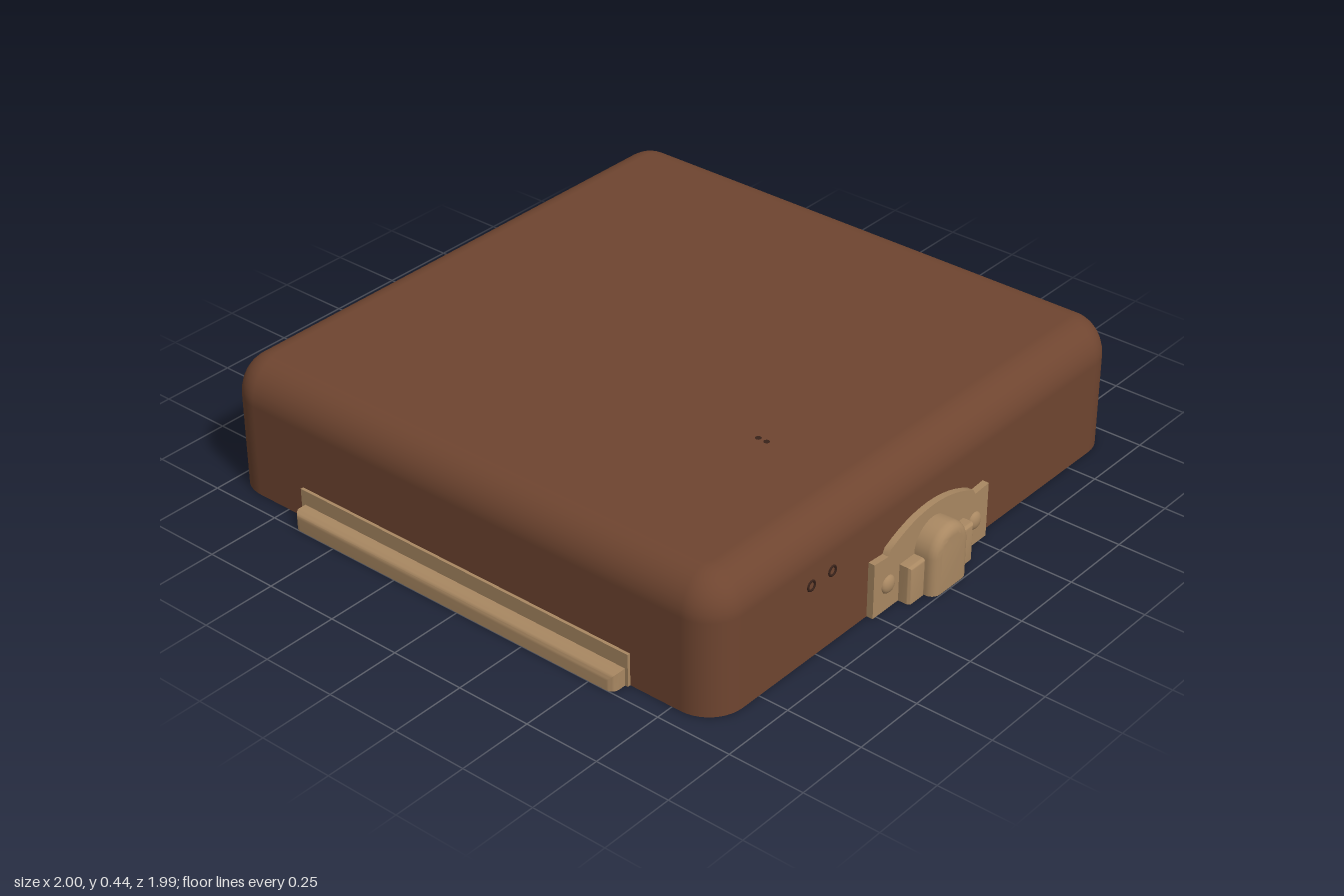
import * as THREE from 'three';
import { toCreasedNormals } from 'three/addons/utils/BufferGeometryUtils.js';

// Case extents
const X0 = -0.94, X1 = 0.985, Z0 = -0.995, Z1 = 0.9, H = 0.44;
const R = 0.12, INSET = 0.11, SHOULDER = 0.31;

const mat = (name, color) => {
  const m = new THREE.MeshStandardMaterial({ color, side: THREE.DoubleSide });
  m.name = name;
  return m;
};

const polygon = (pts) => new THREE.Shape(pts.map(([x, y]) => new THREE.Vector2(x, y)));
const rect = (a, b, c, d) => polygon([[a, b], [c, b], [c, d], [a, d]]);

// Rounded corners, filleted top edge and flat top; three straight walls are left open for panels
function caseGeometry() {
  const n = 10, steps = 8;
  const centres = [[X1 - R, Z1 - R], [X0 + R, Z1 - R], [X0 + R, Z0 + R], [X1 - R, Z0 + R]];
  const rings = [[0, 0, 0]];
  for (let i = 0; i <= steps; i++) {
    const t = (i / steps) * Math.PI / 2;
    rings.push([t, INSET * (1 - Math.cos(t)), SHOULDER + (H - SHOULDER) * Math.sin(t)]);
  }
  const pos = [], nor = [], idx = [], count = 4 * (n + 1);
  for (const [t, inset, y] of rings) {
    centres.forEach(([cx, cz], k) => {
      for (let j = 0; j <= n; j++) {
        const a = (k + j / n) * Math.PI / 2, c = Math.cos(a), s = Math.sin(a);
        pos.push(cx + (R - inset) * c, y, cz + (R - inset) * s);
        nor.push(c * Math.cos(t), Math.sin(t), s * Math.cos(t));
      }
    });
  }
  for (let i = 0; i < rings.length - 1; i++) {
    for (let j = 0; j < count; j++) {
      const corner = Math.floor(j / (n + 1)), straight = j % (n + 1) === n;
      if (i === 0 && straight && corner !== 2) continue;
      const k = (j + 1) % count, a = i * count, b = a + count;
      idx.push(a + j, b + j, b + k, a + j, b + k, a + k);
    }
  }
  const last = (rings.length - 1) * count, centre = rings.length * count;
  pos.push((X0 + X1) / 2, H, (Z0 + Z1) / 2);
  nor.push(0, 1, 0);
  for (let j = 0; j < count; j++) idx.push(centre, last + (j + 1) % count, last + j);
  const g = new THREE.BufferGeometry();
  g.setAttribute('position', new THREE.Float32BufferAttribute(pos, 3));
  g.setAttribute('normal', new THREE.Float32BufferAttribute(nor, 3));
  g.setIndex(idx);
  return g;
}

// Hollow pressed-metal relief: an extrusion without its back and underside
function relief(shape, from, to, bevel = 0) {
  const src = new THREE.ExtrudeGeometry(shape, {
    depth: to - from - bevel, bevelEnabled: bevel > 0, bevelThickness: bevel,
    bevelSize: bevel, bevelOffset: -bevel, bevelSegments: 5, curveSegments: 16,
  });
  const p = src.toNonIndexed ? (src.index ? src.toNonIndexed() : src).attributes.position : null;
  const out = [];
  for (let i = 0; i < p.count; i += 3) {
    const tri = [i, i + 1, i + 2];
    if (tri.every((v) => p.getZ(v) < 1e-4) || tri.every((v) => p.getY(v) < 1e-4)) continue;
    for (const v of tri) out.push(p.getX(v), Math.max(0, p.getY(v)), Math.max(0, p.getZ(v)) + from);
  }
  const g = new THREE.BufferGeometry();
  g.setAttribute('position', new THREE.Float32BufferAttribute(out, 3));
  return toCreasedNormals(g, 0.7);
}

export function createModel() {
  const root = new THREE.Group();
  root.name = 'caseLid';
  const leather = mat('brownLeather', 0x6f4530);
  const brass = mat('agedBrass', 0xa98862);
  const dark = mat('darkMark', 0x38221a);

  const add = (name, geometry, material, parent = root) => {
    const m = new THREE.Mesh(geometry, material);
    m.name = name;
    parent.add(m);
    return m;
  };
  // Side groups: local x runs along the wall, local z points outwards
  const side = (name, turn) => {
    const g = new THREE.Group();
    g.name = name;
    g.rotation.y = turn;
    root.add(g);
    return g;
  };
  const panel = (name, shape, dist, parent) =>
    add(name, new THREE.ShapeGeometry(shape, 16).translate(0, 0, dist), leather, parent);

  add('lidShell', caseGeometry(), leather);

  // Front wall with the latch opening
  const front = side('frontSide', 0);
  const arch = [];
  for (let i = 0; i <= 12; i++) {
    const u = i / 6 - 1;
    arch.push([0.01 + 0.2 * u, 0.25 - 0.052 * u * u]);
  }
  const outer = [[-0.265, 0], [-0.265, 0.185], [-0.2, 0.18], ...arch, [0.22, 0.18], [0.287, 0.185], [0.287, 0]];
  panel('frontWall', polygon([[X0 + R, 0], ...outer, [X1 - R, 0], [X1 - R, SHOULDER], [X0 + R, SHOULDER]]), Z1, front);

  // Latch: arched plate, stepped blocks, rounded tongue and rivets
  const latch = new THREE.Group();
  latch.name = 'latch';
  front.add(latch);
  const tongueArc = [];
  for (let i = 0; i <= 16; i++) {
    const a = (i / 16) * Math.PI;
    tongueArc.push([0.01 + 0.085 * Math.cos(a), 0.125 + 0.085 * Math.sin(a)]);
  }
  const inner = [[0.165, 0], [0.165, 0.125], ...tongueArc, [-0.145, 0.125], [-0.145, 0]];
  add('latchPlate', relief(polygon([...outer, ...inner]), Z1, 0.922), brass, latch);
  const b = 0.012, tb = 0.03;
  add('latchBlockRight', relief(rect(-0.145, -b, -0.07, 0.125), 0.918, 0.962, b), brass, latch);
  add('latchBlockLeft', relief(rect(0.09, -b, 0.165, 0.125), 0.918, 0.962, b), brass, latch);
  add('latchTongue', relief(polygon([[-0.075, -tb], [0.095, -tb], ...tongueArc]), 0.918, 0.997, tb), brass, latch);
  for (const x of [-0.198, 0.222]) {
    const rivet = add('latchRivet', new THREE.SphereGeometry(0.03, 16, 8, 0, Math.PI * 2, 0, Math.PI / 2), brass, latch);
    rivet.rotation.x = Math.PI / 2;
    rivet.scale.y = 0.55;
    rivet.position.set(x, 0.086, 0.92);
  }

  // Small worn marks beside the latch and on the top
  for (const x of [-0.527, -0.433]) {
    const ring = add('wornMark', new THREE.TorusGeometry(0.015, 0.004, 6, 14), dark, front);
    ring.position.set(x, 0.247, Z1);
  }
  for (const z of [0.505, 0.535]) {
    const nick = add('topNick', new THREE.CircleGeometry(0.01, 10).rotateX(-Math.PI / 2), dark);
    nick.position.set(-0.272, H + 0.001, z);
  }

  // Left wall with a slim raised strip
  const left = side('leftSide', Math.PI / 2);
  const strip = rect(-0.53, 0.063, 0.68, 0.113);
  const leftWall = rect(-Z1 + R, 0, -Z0 - R, SHOULDER);
  leftWall.holes.push(rect(-0.53, 0.063, 0.68, 0.113));
  panel('leftWall', leftWall, X1, left);
  add('sideStrip', relief(strip, X1, 0.996, 0.005), brass, left);

  // Right wall with the hinge leaf and its half-round barrel
  const right = side('rightSide', -Math.PI / 2);
  const leaf = [[-0.68, 0], [-0.68, 0.108], [0.6, 0.108], [0.6, 0]];
  panel('rightWall', polygon([[Z0 + R, 0], ...leaf, [Z1 - R, 0], [Z1 - R, SHOULDER], [Z0 + R, SHOULDER]]), -X0, right);
  add('hingeLeaf', relief(polygon([...leaf, [0.59, 0], [0.59, 0.057], [-0.665, 0.057], [-0.665, 0]]), -X0, 0.95), brass, right);
  add('hingeBarrel', relief(rect(-0.665, -0.025, 0.59, 0.058), -X0, 1, 0.025), brass, right);

  return root;
}
